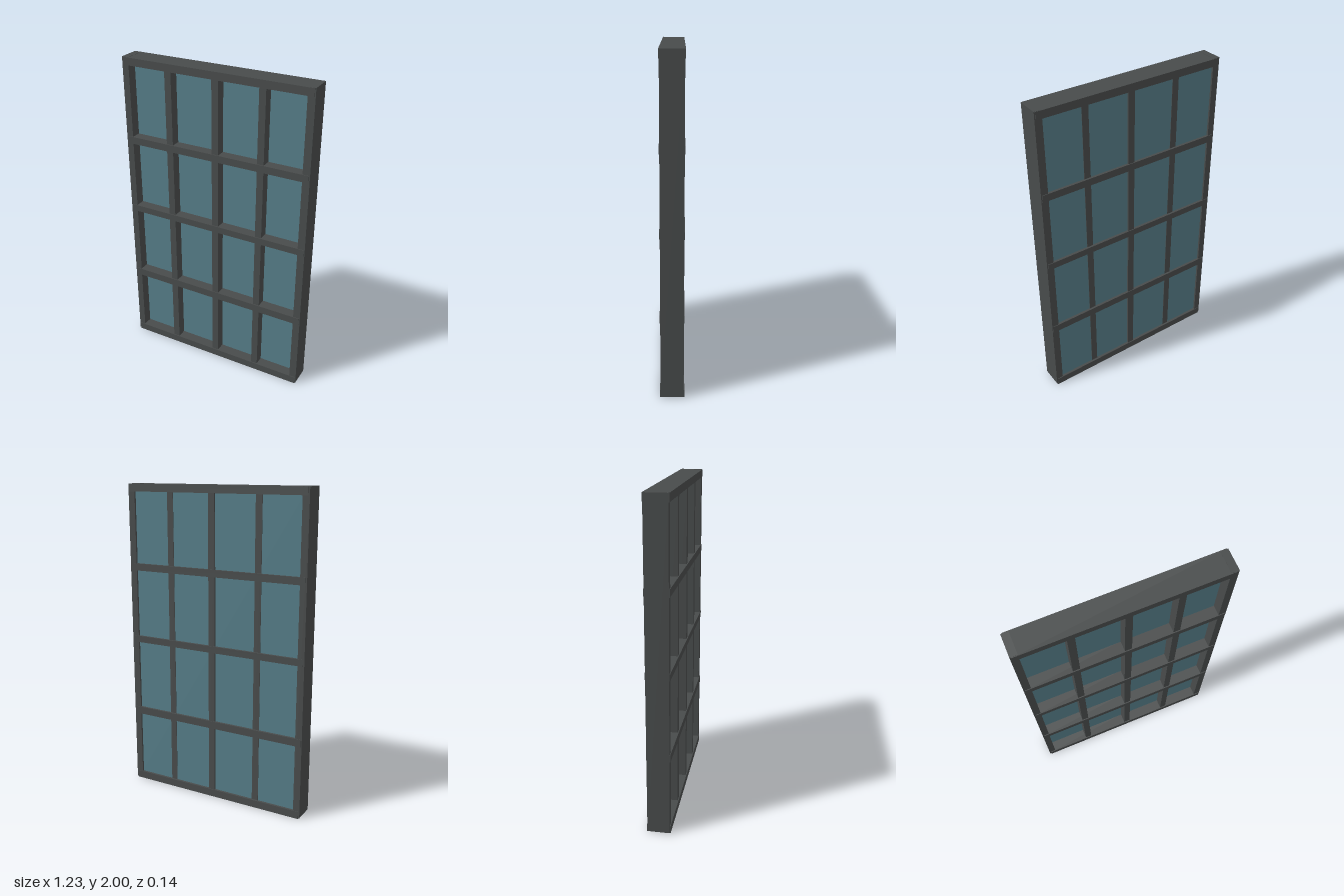
import * as THREE from 'three';

const frameMaterial = new THREE.MeshStandardMaterial({ color: 0x484b4b });
const glassMaterial = new THREE.MeshStandardMaterial({ color: 0x557c87 });

// Box given by its low and high limit on each axis
function addBox(parent, name, material, [x0, x1], [y0, y1], [z0, z1]) {
  const mesh = new THREE.Mesh(new THREE.BoxGeometry(x1 - x0, y1 - y0, z1 - z0), material);
  mesh.position.set((x0 + x1) / 2, (y0 + y1) / 2, (z0 + z1) / 2);
  mesh.name = name;
  parent.add(mesh);
}

export function createModel() {
  const model = new THREE.Group();
  model.name = 'window';

  // Outer side stiles, full height
  addBox(model, 'rightStile', frameMaterial, [-0.614, -0.571], [0.005, 2], [-0.067, 0.068]);
  addBox(model, 'leftStile', frameMaterial, [0.567, 0.612], [0.005, 2], [-0.067, 0.068]);

  // Inner mullions; the middle one stands slightly proud at the back
  const mullions = [[-0.323, -0.28, -0.058], [-0.011, 0.032, -0.066], [0.286, 0.328, -0.058]];
  for (const [x0, x1, back] of mullions) {
    addBox(model, 'mullion', frameMaterial, [x0, x1], [0.02, 1.98], [back, 0.066]);
  }

  // Horizontal rails, slightly deeper than the stiles
  const rails = [[0, 0.048], [0.476, 0.524], [0.979, 1.021], [1.455, 1.5], [1.952, 1.999]];
  rails.forEach((y, i) => {
    const name = i === 0 ? 'bottomRail' : i === 4 ? 'topRail' : 'crossRail';
    addBox(model, name, frameMaterial, [-0.606, 0.606], y, [-0.071, 0.072]);
  });

  // Glass sheet set towards the back
  addBox(model, 'glass', glassMaterial, [-0.59, 0.59], [0.02, 1.98], [-0.055, 0.004]);

  return model;
}
